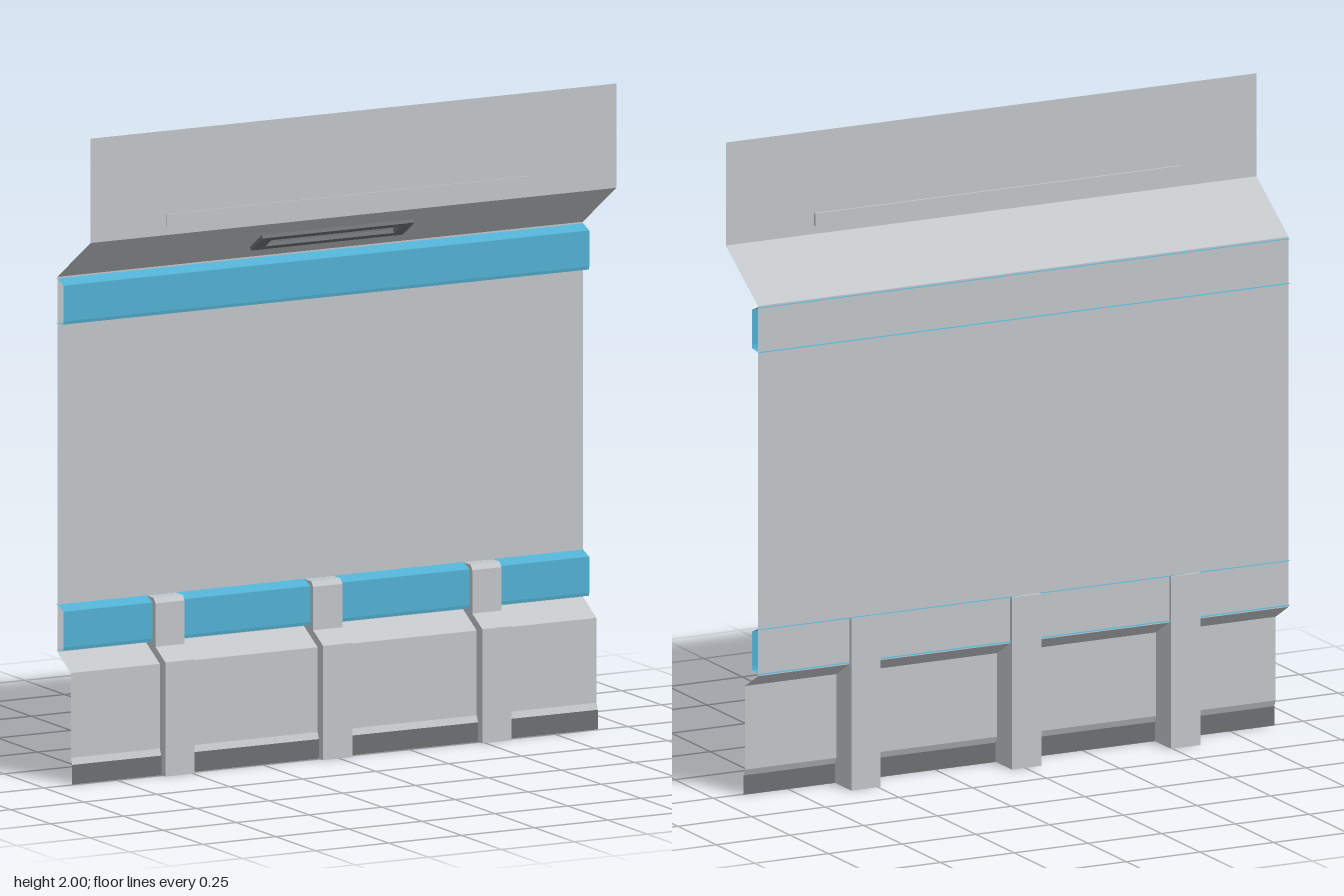
import * as THREE from 'three';

const WIDTH = 1.8;

const material = (name, color) => {
  const m = new THREE.MeshStandardMaterial({ color, side: THREE.DoubleSide });
  m.name = name;
  return m;
};

// Folded sheet running along x; profile lists [z, y] from top to bottom
function sheet(name, profile, mat) {
  const plane = new THREE.PlaneGeometry(WIDTH, 1, 1, profile.length - 1);
  const pos = plane.attributes.position;
  profile.forEach(([z, y], row) => {
    for (let i = 0; i < 2; i++) pos.setXYZ(row * 2 + i, pos.getX(row * 2 + i), y, z);
  });
  const geo = plane.toNonIndexed();
  geo.computeVertexNormals();
  const mesh = new THREE.Mesh(geo, mat);
  mesh.name = name;
  return mesh;
}

export function createModel() {
  const model = new THREE.Group();
  model.name = 'wallPanel';
  const gray = material('light gray', 0xc1c5c8);
  const blue = material('blue', 0x52b0d3);
  const dark = material('dark gray', 0x6c6e70);

  // Back wall, sloping shelf and upright top panel
  model.add(sheet('backWall', [[-0.1, 1.54], [-0.1, 0.39]], gray));
  model.add(sheet('slopingPanel', [[0.11, 1.68], [-0.1, 1.54]], gray));
  model.add(sheet('topPanel', [[0.11, 2], [0.11, 1.68]], gray));

  // Two blue rails, open at the ends
  for (const y of [0.4, 1.4]) {
    const rail = [[-0.11, y + 0.135], [-0.098, y + 0.135], [-0.06, y + 0.12], [-0.06, y + 0.01], [-0.062, y], [-0.11, y - 0.004]];
    model.add(sheet(y < 1 ? 'lowerRail' : 'upperRail', rail, blue));
  }

  // Lower cover with a dark skirting strip
  model.add(sheet('lowerCover', [[-0.1, 0.39], [-0.015, 0.34], [-0.015, 0.08], [-0.006, 0.06]], gray));
  model.add(sheet('skirtingStrip', [[-0.006, 0.06], [-0.006, 0]], dark));

  // Three brackets
  const side = new THREE.Shape([
    [-0.112, 0], [0.02, 0], [0.02, 0.35], [-0.043, 0.387],
    [-0.043, 0.52], [-0.055, 0.535], [-0.112, 0.535],
  ].map(([z, y]) => new THREE.Vector2(z, y)));
  const bracketGeo = new THREE.ExtrudeGeometry(side, { depth: 0.1, bevelEnabled: false });
  bracketGeo.rotateY(-Math.PI / 2);
  bracketGeo.translate(0.05, 0, 0);
  for (const x of [-0.545, -0.005, 0.54]) {
    const bracket = new THREE.Mesh(bracketGeo, gray);
    bracket.name = 'bracket';
    bracket.position.x = x;
    model.add(bracket);
  }

  // Slim bar on the top panel
  const bar = new THREE.Mesh(new THREE.BoxGeometry(1.24, 0.04, 0.012), gray);
  bar.name = 'slimBar';
  bar.position.set(-0.02, 1.725, 0.108);
  model.add(bar);

  // Recessed handle frame under the sloping panel
  const rect = (Type, w, h) => new Type([[-w, -h], [w, -h], [w, h], [-w, h]].map(([x, y]) => new THREE.Vector2(x, y)));
  const frame = rect(THREE.Shape, 0.26, 0.045);
  frame.holes.push(rect(THREE.Path, 0.22, 0.023));
  const handle = new THREE.Mesh(new THREE.ExtrudeGeometry(frame, { depth: 0.012, bevelEnabled: false }), dark);
  handle.name = 'handleFrame';
  handle.position.set(-0.02, 1.611, 0.01);
  handle.rotation.x = Math.atan2(0.21, 0.14);
  model.add(handle);

  return model;
}
